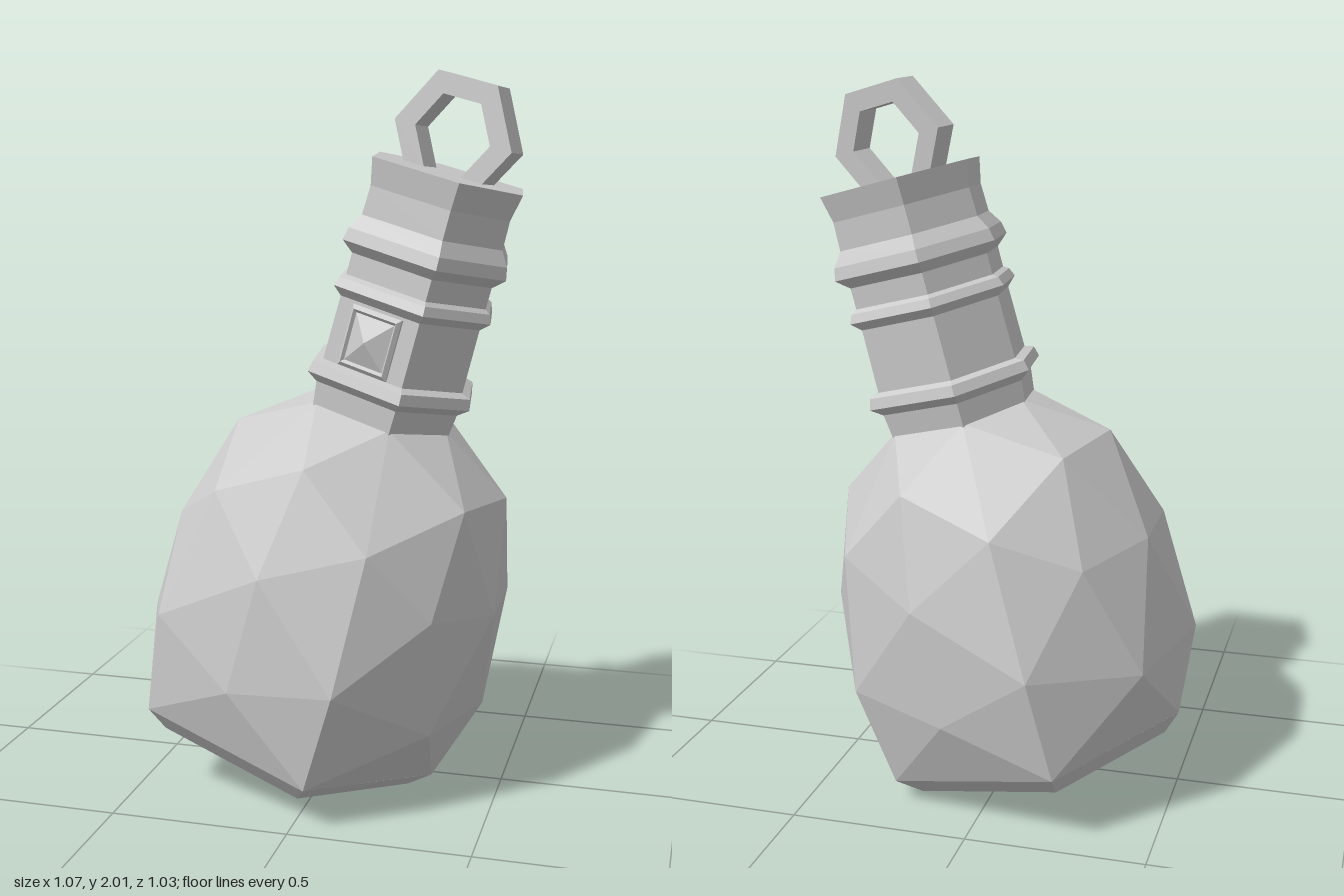
import * as THREE from 'three';

const material = new THREE.MeshStandardMaterial({ color: 0xcccccc, flatShading: true });
const TILT = THREE.MathUtils.degToRad(15);

// Slightly squashed hexagon: the ring of six around an icosphere's edge midpoint.
const HEX = [[0.526, 0], [0.309, 0.5], [-0.309, 0.5], [-0.526, 0], [-0.309, -0.5], [0.309, -0.5]];

function addMesh(parent, name, geometry) {
  const mesh = new THREE.Mesh(geometry, material);
  mesh.name = name;
  parent.add(mesh);
  return mesh;
}

// Stack of hexagons given as [height, scale], capped at both ends.
function hexLoft(profile) {
  const out = [];
  const point = (ring, i) => {
    const [h, s] = profile[ring];
    const [x, z] = HEX[i % 6];
    return [x * s, h, z * s];
  };
  const last = profile.length - 1;
  for (let i = 0; i < 6; i++) {
    for (let r = 0; r < last; r++) {
      const a = point(r, i), b = point(r, i + 1), c = point(r + 1, i + 1), d = point(r + 1, i);
      out.push(...a, ...d, ...c, ...a, ...c, ...b);
    }
    out.push(0, profile[0][0], 0, ...point(0, i), ...point(0, i + 1));
    out.push(0, profile[last][0], 0, ...point(last, i + 1), ...point(last, i));
  }
  const geometry = new THREE.BufferGeometry();
  geometry.setAttribute('position', new THREE.Float32BufferAttribute(out, 3));
  geometry.computeVertexNormals();
  return geometry;
}

// Icosphere reshaped into a pear: [sphere y, height, radius factor].
function pearGeometry() {
  const table = [
    [-1, 0.06, 0.85], [-0.8, 0.06, 0.85], [-0.526, 0.25, 0.58], [-0.5, 0.25, 0.58],
    [-0.309, 0.352, 0.568], [0, 0.58, 0.487], [0.309, 0.727, 0.487], [0.5, 0.865, 0.46],
    [0.526, 0.88, 0.46], [0.809, 1.01, 0.38], [0.851, 1.015, 0.38], [1.001, 1.04, 0.38],
  ];
  const geometry = new THREE.IcosahedronGeometry(1, 1);
  const p = geometry.attributes.position;
  for (let i = 0; i < p.count; i++) {
    const y = THREE.MathUtils.clamp(p.getY(i), -1, 1);
    const k = Math.max(1, table.findIndex((row) => row[0] >= y));
    const [a, b] = [table[k - 1], table[k]];
    const t = (y - a[0]) / (b[0] - a[0]);
    const f = THREE.MathUtils.lerp(a[2], b[2], t);
    p.setXYZ(i, p.getX(i) * f, THREE.MathUtils.lerp(a[1], b[1], t), p.getZ(i) * f);
  }
  geometry.computeVertexNormals();
  return geometry;
}

function hexPath(path, radius) {
  const points = [];
  for (let i = 0; i < 6; i++) {
    const a = (i * Math.PI) / 3;
    points.push(new THREE.Vector2(radius * Math.cos(a), radius * Math.sin(a)));
  }
  path.setFromPoints(points);
  path.closePath();
  return path;
}

export function createModel() {
  const model = new THREE.Group();
  model.name = 'flask';

  // Leaning frame, with the whole flask turned about its own axis
  const lean = new THREE.Group();
  lean.name = 'leaningFlask';
  lean.position.set(-0.115, 0.1, 0);
  lean.rotation.z = -TILT;
  model.add(lean);
  const flask = new THREE.Group();
  flask.name = 'turnedFlask';
  flask.rotation.y = -TILT;
  lean.add(flask);

  // Faceted body and bevelled flat base
  addMesh(flask, 'body', pearGeometry());
  addMesh(flask, 'base', hexLoft([[0, 0.735], [0.06, 0.85]]));

  // Neck with three collars and a flared lip
  addMesh(flask, 'neck', hexLoft([
    [0.98, 0.39], [1.07, 0.41], [1.095, 0.47], [1.125, 0.455], [1.135, 0.405],
    [1.315, 0.4], [1.34, 0.45], [1.365, 0.43], [1.375, 0.4], [1.435, 0.4],
    [1.465, 0.465], [1.5, 0.45], [1.54, 0.4], [1.62, 0.395], [1.695, 0.425],
  ]));

  // Square studded gem on the front face of the neck
  const gemProfile = [[0.108, -0.01], [0.108, 0.008], [0.094, 0.018], [0.084, 0.01], [0, 0.04]]
    .map(([r, h]) => new THREE.Vector2(r, h));
  const gem = addMesh(flask, 'gem', new THREE.LatheGeometry(gemProfile, 4, Math.PI / 4));
  gem.rotation.x = Math.PI / 2;
  gem.scale.z = 1.12;
  gem.position.set(0, 1.222, 0.2);

  // Hexagonal hanging ring
  const shape = hexPath(new THREE.Shape(), 0.18);
  shape.holes.push(hexPath(new THREE.Path(), 0.115));
  const depth = 0.08;
  const ring = addMesh(flask, 'hangingRing',
    new THREE.ExtrudeGeometry(shape, { depth, bevelEnabled: false }));
  ring.position.set(-0.005, 1.795, -depth / 2);

  return model;
}
